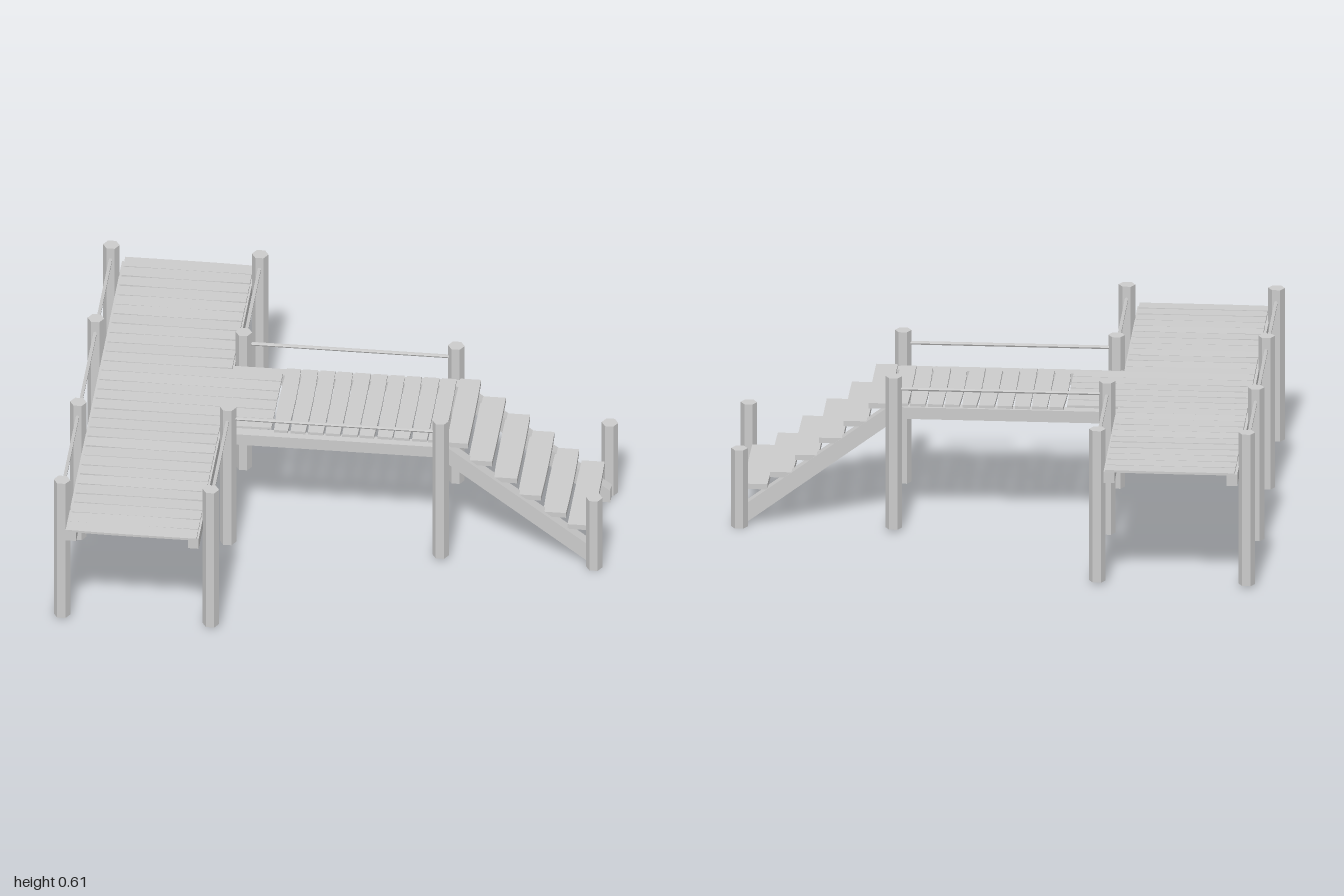
import * as THREE from 'three';

const material = new THREE.MeshStandardMaterial({ color: 0xcccccc, flatShading: true });

// Small seeded generator for the weathered look
let seed = 7;
const rand = () => {
  seed = (seed * 16807) % 2147483647;
  return seed / 2147483647;
};

export function createModel() {
  const model = new THREE.Group();

  const group = (name) => {
    const g = new THREE.Group();
    g.name = name;
    model.add(g);
    return g;
  };

  const add = (parent, name, geometry, x = 0, y = 0, z = 0) => {
    const mesh = new THREE.Mesh(geometry, material);
    mesh.name = name;
    mesh.position.set(x, y, z);
    parent.add(mesh);
    return mesh;
  };

  // Box given by its lower and upper corners
  const block = (parent, name, x0, x1, y0, y1, z0, z1) =>
    add(parent, name, new THREE.BoxGeometry(x1 - x0, y1 - y0, z1 - z0),
      (x0 + x1) / 2, (y0 + y1) / 2, (z0 + z1) / 2);

  // Plank along x whose four corners are worn narrower by varying amounts
  const plank = (parent, name, length, width, thickness, x, y, z, wear) => {
    const geometry = new THREE.BoxGeometry(length, thickness, width, 4, 1, 1);
    const p = geometry.attributes.position;
    const worn = [0, 1, 2, 3].map(() => rand() * wear);
    for (let i = 0; i < p.count; i++) {
      const px = p.getX(i), pz = p.getZ(i);
      const corner = (px > 0 ? 1 : 0) + (pz > 0 ? 2 : 0);
      const end = Math.abs(px) / (length / 2);
      p.setZ(i, pz - Math.sign(pz) * worn[corner] * end * end);
    }
    return add(parent, name, geometry, x, y, z);
  };

  // Six-sided posts
  const posts = group('posts');
  const post = (name, x, z, y0, y1) => {
    const geometry = new THREE.CylinderGeometry(0.031, 0.031, y1 - y0, 6);
    geometry.rotateY(Math.PI / 2);
    add(posts, name, geometry, x, (y0 + y1) / 2, z);
  };
  for (const z of [-0.82, -0.32, 0.25, 0.78]) post('outerPost', -0.969, z, 0.01, 0.61);
  for (const z of [-0.82, -0.29, 0.22, 0.78]) post('innerPost', -0.41, z, 0.01, 0.61);
  for (const z of [-0.29, 0.22]) {
    post('walkwayPost', 0.388, z, 0.01, 0.61);
    post('stairPost', 0.965, z, 0, 0.31);
  }

  // Thin rails between post tops
  const rails = group('rails');
  const rail = (x0, z0, x1, z1) => {
    const a = new THREE.Vector3(x0, 0.56, z0), b = new THREE.Vector3(x1, 0.56, z1);
    const geometry = new THREE.CylinderGeometry(0.007, 0.007, a.distanceTo(b), 6);
    const mesh = add(rails, 'rail', geometry);
    mesh.position.copy(a).lerp(b, 0.5);
    mesh.quaternion.setFromUnitVectors(new THREE.Vector3(0, 1, 0), b.sub(a).normalize());
  };
  rail(-0.969, -0.82, -0.969, -0.32);
  rail(-0.969, -0.32, -0.969, 0.25);
  rail(-0.969, 0.25, -0.969, 0.78);
  rail(-0.41, -0.82, -0.41, -0.29);
  rail(-0.41, 0.22, -0.41, 0.78);
  for (const z of [-0.29, 0.22]) rail(-0.41, z, 0.388, z);

  // Beams under both decks
  const beams = group('beams');
  for (const x of [-0.94, -0.48]) block(beams, 'deckBeam', x, x + 0.04, 0.43, 0.476, -0.915, 0.915);
  for (const z of [-0.26, 0.155]) block(beams, 'walkwayBeam', -0.44, 0.41, 0.43, 0.476, z, z + 0.044);

  // Cross deck: planks along x, the middle ones reaching into the walkway
  const deck = group('deck');
  const count = 29, pitch = 1.864 / count;
  for (let i = 0; i < count; i++) {
    const x1 = i >= 11 && i <= 16 ? -0.255 : -0.447;
    const z = -0.932 + (i + 0.5) * pitch;
    const board = plank(deck, 'deckPlank', x1 + 0.93, pitch - 0.002, 0.009,
      (x1 - 0.93) / 2, 0.481, z, 0.005);
    board.rotation.x = (rand() - 0.5) * 0.06;
  }

  // Walkway: planks along z
  const walkway = group('walkway');
  for (let i = 0; i < 10; i++) {
    const board = plank(walkway, 'walkwayPlank', 0.42, 0.0625, 0.012,
      -0.2175 + i * 0.0648, 0.481, -0.04, 0.006);
    board.rotation.y = Math.PI / 2;
  }

  // Stairs: sloping stringers and thick treads
  const stairs = group('stairs');
  const side = new THREE.Shape([
    [0.4, 0.476], [0.41, 0.476], [0.975, 0.055], [0.975, 0.004], [0.942, 0.004], [0.4, 0.411],
  ].map(([x, y]) => new THREE.Vector2(x, y)));
  for (const z of [-0.258, 0.152]) {
    const geometry = new THREE.ExtrudeGeometry(side, { depth: 0.045, bevelEnabled: false });
    add(stairs, 'stringer', geometry, 0, 0, z);
  }
  const treads = [[0.4, 0.477], [0.487, 0.404], [0.58, 0.335], [0.672, 0.265], [0.765, 0.195], [0.86, 0.146]];
  for (const [x, y] of treads) {
    const tread = plank(stairs, 'tread', 0.435, 0.092, 0.021, x + 0.046, y, -0.037, 0.004);
    tread.rotation.y = Math.PI / 2;
  }
  stairs.children[2].scale.z = 0.9;

  return model;
}
